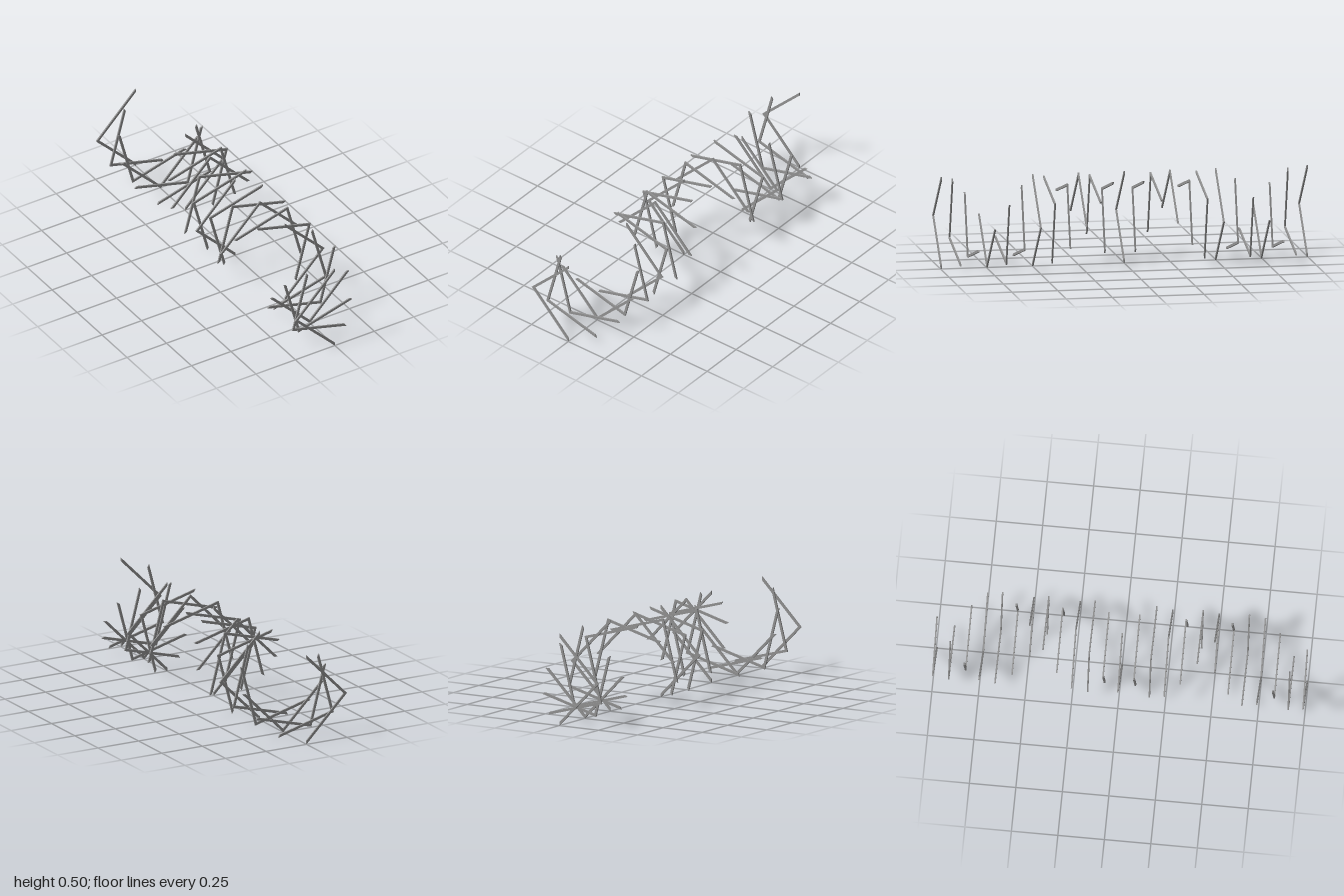
import * as THREE from 'three';

const RADIUS = 0.25;      // outer corner radius of every chevron
const INNER = 0.231;      // inner corner radius
const THICK = 0.008;      // plate thickness along z
const STEPS = 24;         // gaps between the 25 plates

// Half of a square frame: corner at angle 0, mitred ends at +90 and -90 degrees
function chevronGeometry() {
  const shape = new THREE.Shape([
    new THREE.Vector2(0, -RADIUS),
    new THREE.Vector2(RADIUS, 0),
    new THREE.Vector2(0, RADIUS),
    new THREE.Vector2(0, INNER),
    new THREE.Vector2(INNER, 0),
    new THREE.Vector2(0, -INNER),
  ]);
  const geometry = new THREE.ExtrudeGeometry(shape, { depth: THICK, bevelEnabled: false });
  return geometry.translate(0, 0, -THICK / 2);
}

export function createModel() {
  const model = new THREE.Group();
  model.name = 'twistedChevronRow';
  const material = new THREE.MeshStandardMaterial({ color: 0x949494 });
  const geometry = chevronGeometry();
  const spacing = (2 - THICK) / STEPS;

  // Each plate turns 30 degrees from the last; the back half mirrors the front half
  for (let i = -STEPS / 2; i <= STEPS / 2; i++) {
    const chevron = new THREE.Mesh(geometry, material);
    chevron.name = `chevron${i + STEPS / 2 + 1}`;
    chevron.position.set(0, RADIUS, i * spacing);
    chevron.rotation.z = Math.PI - Math.abs(i) * Math.PI / 6;
    model.add(chevron);
  }
  return model;
}
